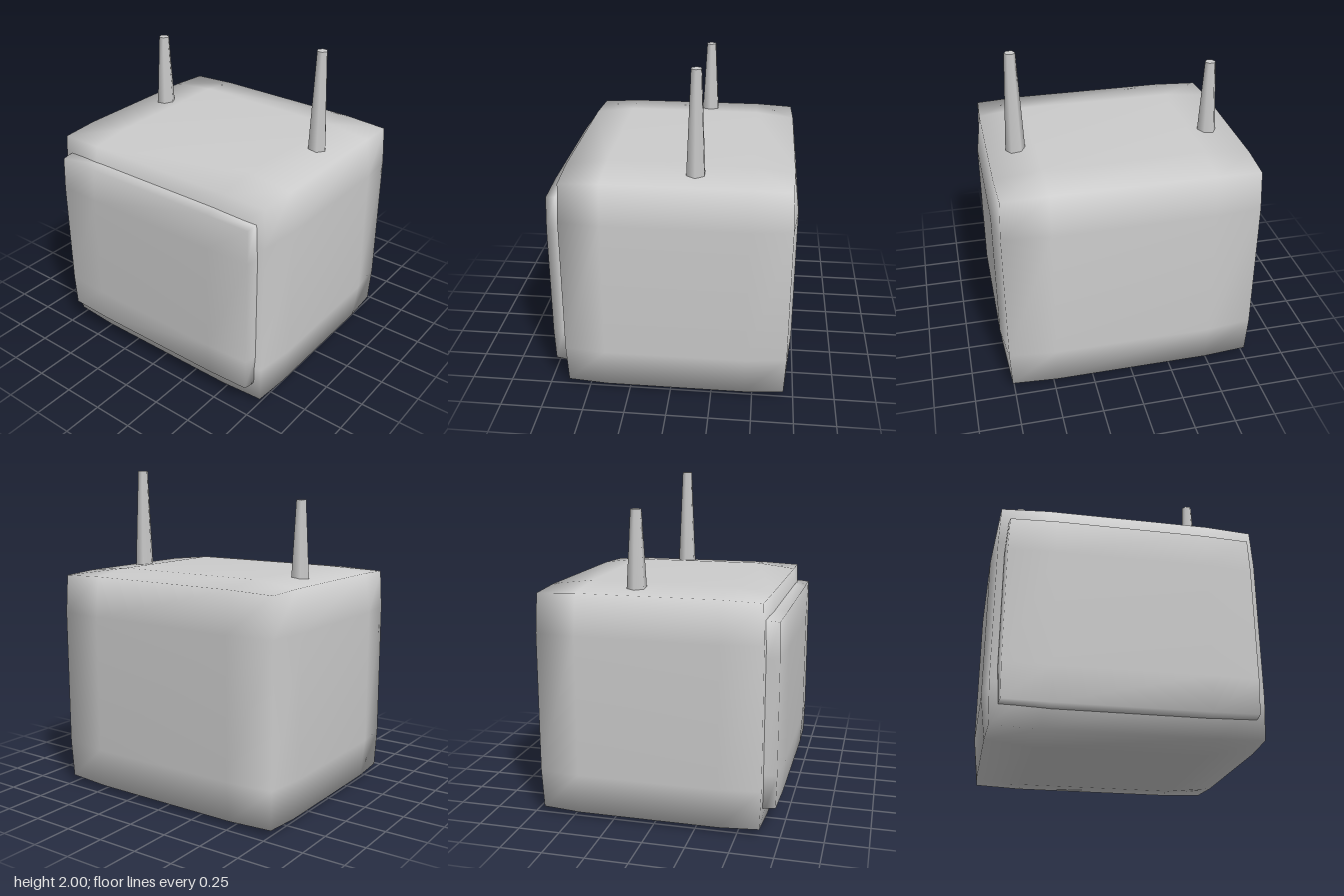
import * as THREE from 'three';
import { mergeVertices } from 'three/addons/utils/BufferGeometryUtils.js';

// Box of 3 x 3 x 3 cells whose edges and corners are pulled in, shaded smooth.
// half: half sizes; edge, corner: how far edge and corner points are pulled in.
function softBox(half, edge, corner) {
  const box = new THREE.BoxGeometry(2, 2, 2, 3, 3, 3);
  box.deleteAttribute('normal');
  box.deleteAttribute('uv');
  const geometry = mergeVertices(box);
  const position = geometry.attributes.position;
  for (let i = 0; i < position.count; i++) {
    const point = [position.getX(i), position.getY(i), position.getZ(i)];
    const outer = point.filter((v) => Math.abs(v) > 0.9).length;
    const inset = [0, 0, edge, corner][outer];
    const moved = point.map((v, axis) =>
      Math.sign(v) * (Math.abs(v) > 0.9 ? half[axis] - inset : half[axis] * 0.605));
    position.setXYZ(i, ...moved);
  }
  geometry.computeVertexNormals();
  return geometry;
}

export function createModel() {
  const model = new THREE.Group();
  model.name = 'television';
  const grey = new THREE.MeshStandardMaterial({ color: 0xcccccc });
  grey.name = 'light grey';

  function add(name, geometry, x, y, z) {
    const mesh = new THREE.Mesh(geometry, grey);
    mesh.name = name;
    mesh.position.set(x, y, z);
    model.add(mesh);
  }

  // Cabinet and the screen panel set into its front
  add('cabinet', softBox([0.8, 0.7, 0.7], 0.03, 0.04), 0, 0.7, -0.03);
  add('screen', softBox([0.73, 0.565, 0.195], 0.014, 0.02), 0, 0.705, 0.54);

  // Six-sided tapering antennas, the left one taller
  const base = 1.38;
  for (const [name, x, top] of [['leftAntenna', 0.6, 2], ['rightAntenna', -0.6, 1.84]]) {
    const height = top - base;
    const antenna = new THREE.CylinderGeometry(0.033, 0.06, height, 6);
    antenna.rotateY(Math.PI / 6);
    add(name, antenna, x, base + height / 2, -0.135);
  }
  return model;
}
